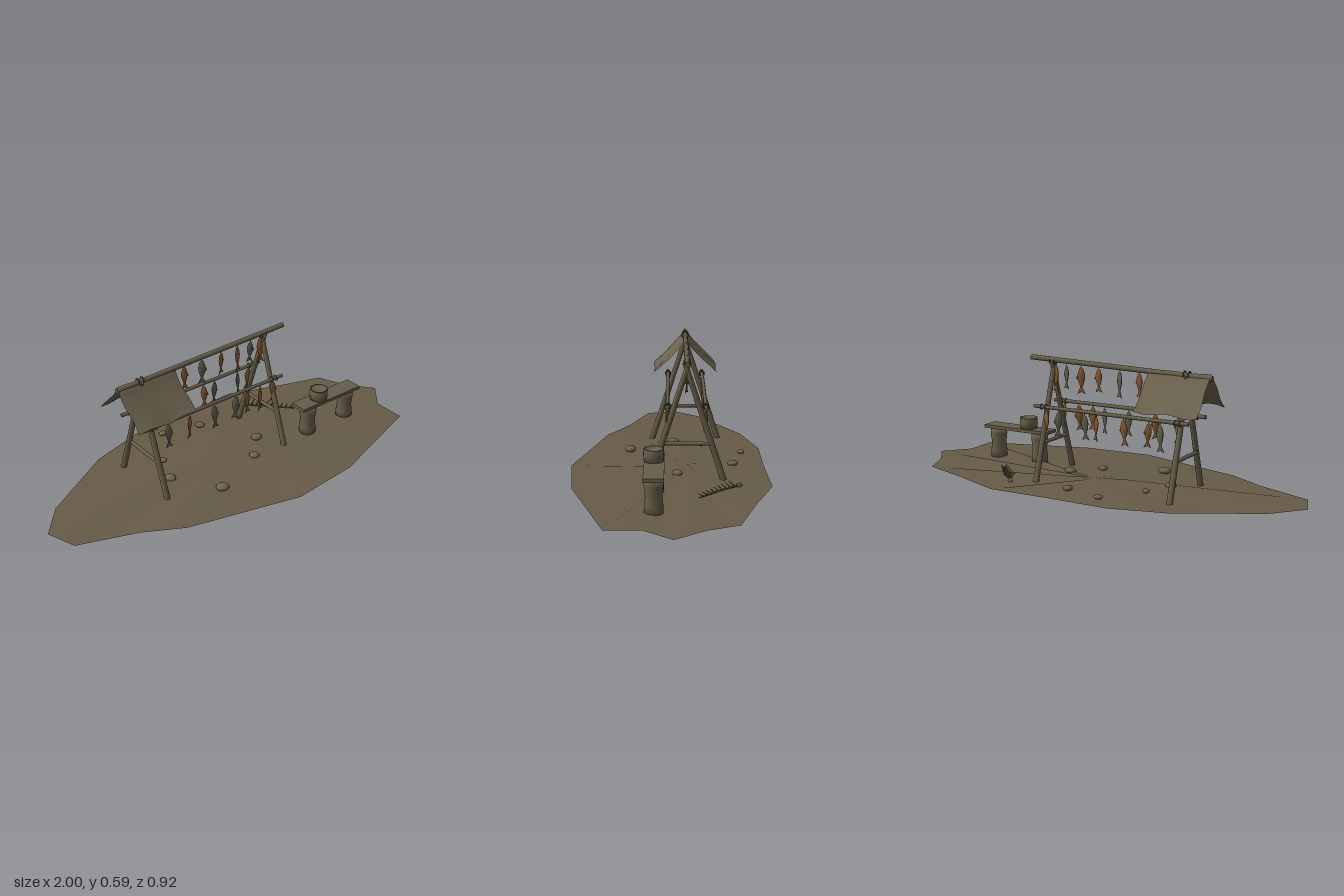
import * as THREE from 'three';

const V = (x, y, z) => new THREE.Vector3(x, y, z);

export function createModel() {
  const root = new THREE.Group();
  const mat = (name, color, side = THREE.FrontSide) => {
    const m = new THREE.MeshStandardMaterial({ color, side });
    m.name = name;
    return m;
  };
  const earth = mat('earth', 0x665b47, THREE.DoubleSide);
  const wood = mat('wood', 0x675e4a);
  const hide = mat('hide', 0x6a614d, THREE.DoubleSide);
  const stone = mat('stone', 0x6b624e);
  const brownFish = mat('brown fish', 0x87572f, THREE.DoubleSide);
  const greyFish = mat('grey fish', 0x5e5e4c, THREE.DoubleSide);

  const add = (name, geo, material, parent = root) => {
    const m = new THREE.Mesh(geo, material);
    m.name = name;
    parent.add(m);
    return m;
  };
  // Tapered round bar between two points
  const bar = (name, a, b, r0, r1 = r0, material = wood, parent = root, sides = 10) => {
    const m = add(name, new THREE.CylinderGeometry(r1, r0, a.distanceTo(b), sides), material, parent);
    m.position.copy(a).lerp(b, 0.5);
    m.quaternion.setFromUnitVectors(V(0, 1, 0), b.clone().sub(a).normalize());
    return m;
  };

  // Ground: uneven patch with a rumpled centre
  const outline = [
    [-1, -.02], [-.88, -.16], [-.52, -.37], [-.25, -.445], [.05, -.447], [.35, -.46],
    [.59, -.37], [.84, -.29], [.9, -.15], [1, -.02], [.9, .1], [.9, .26], [.38, .43],
    [.04, .46], [-.5, .32], [-.68, .22], [-.95, .12]];
  const n = outline.length, pos = [.04, .026, -.07], idx = [];
  outline.forEach(([x, z], i) => {
    const k = i % 2 ? .3 : .17;
    pos.push(.04 + (x - .04) * k, i % 2 ? .019 : .031, -.07 + (z + .07) * k);
  });
  outline.forEach(([x, z]) => pos.push(x, .02, z));
  for (let i = 0; i < n; i++) {
    const a = 1 + i, b = 1 + (i + 1) % n;
    idx.push(0, b, a, a, b, b + n, a, b + n, a + n);
  }
  const ground = new THREE.BufferGeometry();
  ground.setAttribute('position', new THREE.Float32BufferAttribute(pos, 3));
  ground.setIndex(idx);
  ground.computeVertexNormals();
  add('ground', ground, earth);

  // Two A-frames with cross bars and lashings
  for (const x of [-.447, .255]) {
    const frame = new THREE.Group();
    frame.name = 'aFrame';
    root.add(frame);
    bar('frontLeg', V(x + .006, .003, .093), V(x, .56, -.088), .0145, .012, wood, frame);
    bar('backLeg', V(x - .008, .003, -.252), V(x, .56, -.07), .0145, .012, wood, frame);
    bar('crossBar', V(x, .19, .035), V(x, .19, -.195), .0095, .0085, wood, frame);
    for (const [y, z, r] of [[.564, -.08, .014], [.36, .007, .012], [.36, -.165, .012]])
      for (const d of [-.012, .012]) {
        const t = add('lashing', new THREE.TorusGeometry(r, .003, 6, 12), wood, frame);
        t.position.set(x + d, y, z);
        t.rotation.y = Math.PI / 2;
      }
  }

  // Hanging poles
  bar('ridgePole', V(-.57, .555, -.08), V(.378, .575, -.08), .012, .0125);
  for (const z of [.007, -.165])
    bar('lowerPole', V(-.5, .362, z), V(.307, .36, z), .0095, .0085);

  // Sagging hide cover over one end of the ridge
  const cover = new THREE.PlaneGeometry(.305, 1, 12, 16);
  const cp = cover.attributes.position;
  for (let i = 0; i < cp.count; i++) {
    const x = cp.getX(i), s = cp.getY(i) * 2, a = Math.abs(s);
    cp.setXYZ(i, x - .412 + .005 * Math.sin(s * 6),
      .572 - .168 * a ** .82 + .005 * Math.sin(x * 32 + s * 2) * (.3 + a),
      -.08 - s * .154 + .004 * Math.sin(x * 26) * s);
  }
  cover.computeVertexNormals();
  add('hideCover', cover, hide);

  // Dried fish: flattened body with a forked tail at the bottom
  const profile = [[0, 0], [.009, -.008], [.016, -.028], [.018, -.045], [.014, -.068], [.006, -.09], [.005, -.1]]
    .map(([r, y]) => new THREE.Vector2(r, y)).reverse();
  const body = new THREE.LatheGeometry(profile, 10).scale(1, 1, .4);
  const tailShape = new THREE.Shape([[-.005, -.094], [-.019, -.124], [0, -.115], [.019, -.124], [.005, -.094]]
    .map(p => new THREE.Vector2(...p)));
  const tail = new THREE.ExtrudeGeometry(tailShape, { depth: .003, bevelEnabled: false }).translate(0, 0, -.0015);
  const finShape = new THREE.Shape([[.013, -.03], [.024, -.052], [.012, -.066]].map(p => new THREE.Vector2(...p)));
  const fin = new THREE.ShapeGeometry(finShape);
  const hangFish = (x, y, z, brown, i) => {
    const m = brown ? brownFish : greyFish, f = new THREE.Group();
    f.name = 'driedFish';
    add('fishBody', body, m, f);
    add('fishTail', tail, m, f);
    add('fishFin', fin, m, f);
    bar('string', V(0, -.004, 0), V(0, .016, 0), .002, .002, wood, f, 5);
    f.position.set(x, y, z);
    f.rotation.set(.04 * Math.sin(i * 2.3), .5 * Math.sin(i * 1.7), .06 * Math.sin(i * 3.1));
    f.scale.setScalar(.96 + .08 * Math.sin(i * 2.9));
    root.add(f);
  };
  // Each row lists x positions; the string marks brown (b) or grey (g)
  const rows = [
    [.55, -.08, [-.38, -.295, -.208, -.107, .005, .1, .18, .24], 'bbbgbbgb'],
    [.347, .007, [-.365, -.245, -.105, .025, .09, .17, .25], 'gbggbbb'],
    [.347, -.165, [-.36, -.305, -.175, -.035, .03, .17, .24], 'gbbbggb']];
  rows.forEach(([y, z, xs, tones], r) =>
    xs.forEach((x, i) => hangFish(x, y, z, tones[i] === 'b', i + r * 11)));

  // Bench: plank on two waisted stumps
  const stump = new THREE.LatheGeometry([[0, .015], [.042, .015], [.041, .05], [.036, .09], [.042, .14], [.04, .165], [0, .168]]
    .map(p => new THREE.Vector2(...p)), 16);
  for (const [x, turn] of [[.437, 0], [.688, 1]]) {
    const s = add('benchStump', stump, wood);
    s.position.set(x, 0, .062);
    s.rotation.y = turn;
  }
  const plank = add('benchPlank', new THREE.BoxGeometry(.378, .016, .087), wood);
  plank.position.set(.558, .177, .062);
  plank.rotation.z = -.008;

  // Open bowl on the bench
  const bowl = new THREE.LatheGeometry([[0, .184], [.042, .184], [.045, .21], [.044, .24], [.038, .24], [.036, .228], [0, .226]]
    .map(p => new THREE.Vector2(...p)), 24);
  add('bowl', bowl, wood).position.set(.503, 0, .064);

  // Scattered stones: x, z, radius
  for (const [x, z, r] of [[-.2, .19, .031], [-.345, -.02, .028], [.19, -.037, .028], [.08, .08, .025],
    [.037, -.3, .025], [-.155, -.35, .02], [-.29, -.16, .02]]) {
    const s = add('stone', new THREE.SphereGeometry(r, 10, 7), stone);
    s.scale.set(.9, .5, 1.05);
    s.position.set(x, .032, z);
    s.rotation.y = x * 9;
  }

  // Fish skeleton lying on the ground
  const bones = new THREE.Group();
  bones.name = 'fishSkeleton';
  bones.position.set(.435, .026, -.22);
  bones.rotation.y = -.81;
  root.add(bones);
  bar('spine', V(-.125, 0, 0), V(.125, 0, 0), .004, .002, stone, bones, 6);
  for (let i = 0; i < 9; i++) {
    const x = -.1 + i * .025, w = .028 - i * .0018;
    for (const s of [-1, 1])
      bar('rib', V(x, 0, 0), V(x + .014, .022 - i * .001, s * w), .003, .0015, stone, bones, 5);
  }
  const skull = add('skull', new THREE.SphereGeometry(.014, 8, 6), stone, bones);
  skull.position.x = -.125;
  skull.scale.set(1.3, .7, .8);

  return root;
}
